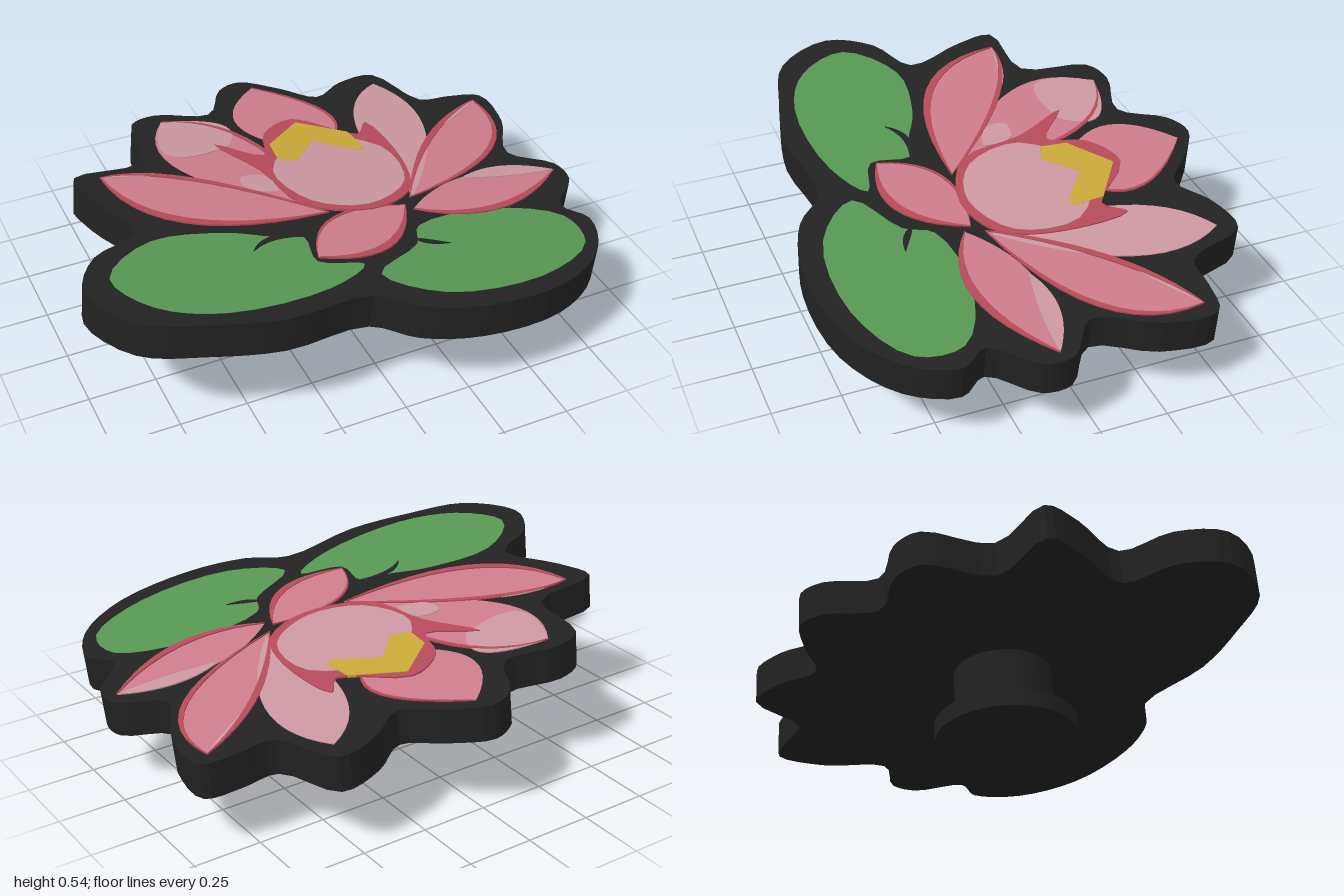
import * as THREE from 'three';

const TILT = 0.106;
const LAYER = 0.0015; // height step between painted layers

const flat = (name, color) => {
  const m = new THREE.MeshStandardMaterial({ color });
  m.name = name;
  return m;
};
const black = flat('black', 0x222222);
const green = flat('leaf green', 0x579653);
const pink = flat('pink', 0xcc7c8c);
const light = flat('pale pink', 0xcb97a1);
const rose = flat('deep rose', 0xb54a5a);
const yellow = flat('yellow', 0xc8a838);

// Pairs of x, z in hundredths
const pairs = (list) => Array.from({ length: list.length / 2 },
  (_, i) => new THREE.Vector2(list[2 * i], list[2 * i + 1]));

// Closed smooth outline through a few points
function smooth(list) {
  const knots = pairs(list).map((p) => new THREE.Vector3(p.x, p.y, 0));
  const points = new THREE.CatmullRomCurve3(knots, true, 'centripetal').getPoints(knots.length * 4);
  return points.slice(0, -1).map((p) => new THREE.Vector2(p.x, p.y));
}

// Quadratic curve from a to b that passes through m halfway
const arc = (a, m, b) => new THREE.QuadraticBezierCurve(
  a, m.clone().multiplyScalar(2).addScaledVector(a, -0.5).addScaledVector(b, -0.5), b);

// Tapered brush stroke along a curve
function stroke(curve, width) {
  const left = [], right = [];
  for (let i = 0; i <= 12; i++) {
    const t = i / 12, p = curve.getPoint(t), d = curve.getTangent(t);
    const w = width * (0.1 + 0.9 * Math.sin(Math.PI * t)) / 2;
    left.push(new THREE.Vector2(p.x - d.y * w, p.y + d.x * w));
    right.unshift(new THREE.Vector2(p.x + d.y * w, p.y - d.x * w));
  }
  return left.concat(right);
}

// Flat outline raised to a plate; x is widened to allow for the tilt
function plate(name, material, points, y, depth) {
  const corners = points.map((p) => new THREE.Vector2(p.x / 100 / Math.cos(TILT), -p.y / 100));
  const geo = new THREE.ExtrudeGeometry(new THREE.Shape(corners), { depth, bevelEnabled: false });
  geo.rotateX(-Math.PI / 2);
  const mesh = new THREE.Mesh(geo, material);
  mesh.name = name;
  mesh.position.y = y;
  return mesh;
}

function disc(name, radius, top, bottom) {
  const mesh = new THREE.Mesh(new THREE.CylinderGeometry(radius, radius, top - bottom, 48), black);
  mesh.name = name;
  mesh.position.set(-0.013, (top + bottom) / 2, 0.01);
  return mesh;
}

export function createModel() {
  const model = new THREE.Group();
  model.name = 'waterLilyCharm';
  const body = new THREE.Group();
  body.name = 'tiltedBody';
  body.position.y = 0.44;
  body.rotation.z = -TILT;
  model.add(body);

  const paint = (name, material, layer, points) =>
    body.add(plate(name, material, points, 0, layer * LAYER));

  // Petal from base to tip, bulging through one point per side, with optional rose edges
  const petal = (name, material, layer, list, edge1 = 0, edge2 = 0) => {
    const [base, side1, tip, side2] = pairs(list);
    const out = arc(base, side1, tip), back = arc(tip, side2, base);
    paint(name, material, layer, [...out.getPoints(14).slice(0, -1), ...back.getPoints(14).slice(0, -1)]);
    if (edge1) paint(name + 'Edge', rose, 4, stroke(out, edge1));
    if (edge2) paint(name + 'InnerEdge', rose, 4, stroke(back, edge2));
  };

  // Backing slab and the button post beneath it
  body.add(plate('backing', black, smooth([
    2, -81, 16, -72, 28, -62, 42, -70, 58, -72, 68, -49, 81, -48, 94, -45, 93, -25, 83, -3, 97, 9,
    97, 20, 84, 35, 90, 45, 82, 63, 60, 77, 28, 80, 6, 74, -8, 63, -40, 66, -66, 61, -88, 53,
    -99, 32, -90, 15, -72, 5, -80, -18, -82, -33, -56, -36, -50, -62, -39, -66, -19, -61, -8, -77,
  ]), -0.135, 0.135));
  body.add(disc('post', 0.183, -0.13, -0.35));
  body.add(disc('postFoot', 0.265, -0.348, -0.415));

  // Lily pads with a dark notch
  paint('leftPad', green, 1, smooth(
    [-89, 28, -69, 12, -42, 15, -27, 22, -17, 25, -18, 40, -3, 46, -20, 55, -58, 57, -80, 47]));
  paint('rightPad', green, 1, smooth(
    [0, 53, 20, 41, 26, 31, 57, 29, 81, 41, 80, 58, 54, 71, 17, 69]));
  paint('leftNotch', black, 2, stroke(arc(...pairs([-37, 28, -28, 23, -17, 25])), 2.5));
  paint('rightNotch', black, 2, stroke(arc(...pairs([20, 37, 25, 41, 32, 44])), 2.5));

  // Petals
  petal('backPetal', pink, 1, [10, -25, -11, -50, 5, -75, 27, -46], 0, 1);
  petal('backLeftPetal', pink, 1, [-3, 10, -43, -26, -39, -60, -12, -40], 0, 1.5);
  petal('backRightPetal', light, 2, [33, 13, 60, -30, 55, -65, 34, -38]);
  petal('outerLeftPetal', pink, 1, [-2, 14, -53, 4, -73, -30, -42, -20], 3, 2);
  petal('outerRightPetal', pink, 1, [31, 14, 78, -8, 89, -42, 58, -21], 2, 2.5);
  petal('lowerRightPetal', pink, 1, [29, 21, 60, 29, 94, 13, 59, 7], 3);
  petal('frontPetal', pink, 2, [27, 18, 9, 39, -17, 38, -2, 18], 3, 1);

  // Pale highlights near the petal tips
  petal('backLeftHighlight', light, 3, [-20, -37, -44, -37, -39, -60, -17, -52]);
  petal('backLeftPatch', light, 3, [-14, -3, -24, -8, -24, -16, -15, -14]);
  petal('outerLeftHighlight', light, 3, [-47, -24, -60, -27, -73, -30, -59, -29]);
  petal('outerRightHighlight', light, 3, [64, -26, 78, -34, 89, -42, 72, -33]);
  petal('lowerRightHighlight', light, 3, [56, 8, 76, 12, 94, 13, 75, 5]);

  // Heart of the flower
  paint('heartOutline', rose, 5, smooth(
    [14, 17, -9, 7, -15, -18, -25, -39, -10, -27, -4, -41, 11, -48, 31, -31, 38, -38, 40, -10, 33, 10]));
  paint('heartPetal', light, 6, smooth([14, 14, -5, 6, -11, -16, 11, -34, 36, -20, 34, 4]));
  paint('heartCrown', yellow, 6.6, pairs(
    [11, -45, 28, -33, 29, -21, 26, -20, 12, -31, 1, -20, -6, -23, -5, -33]));
  return model;
}
